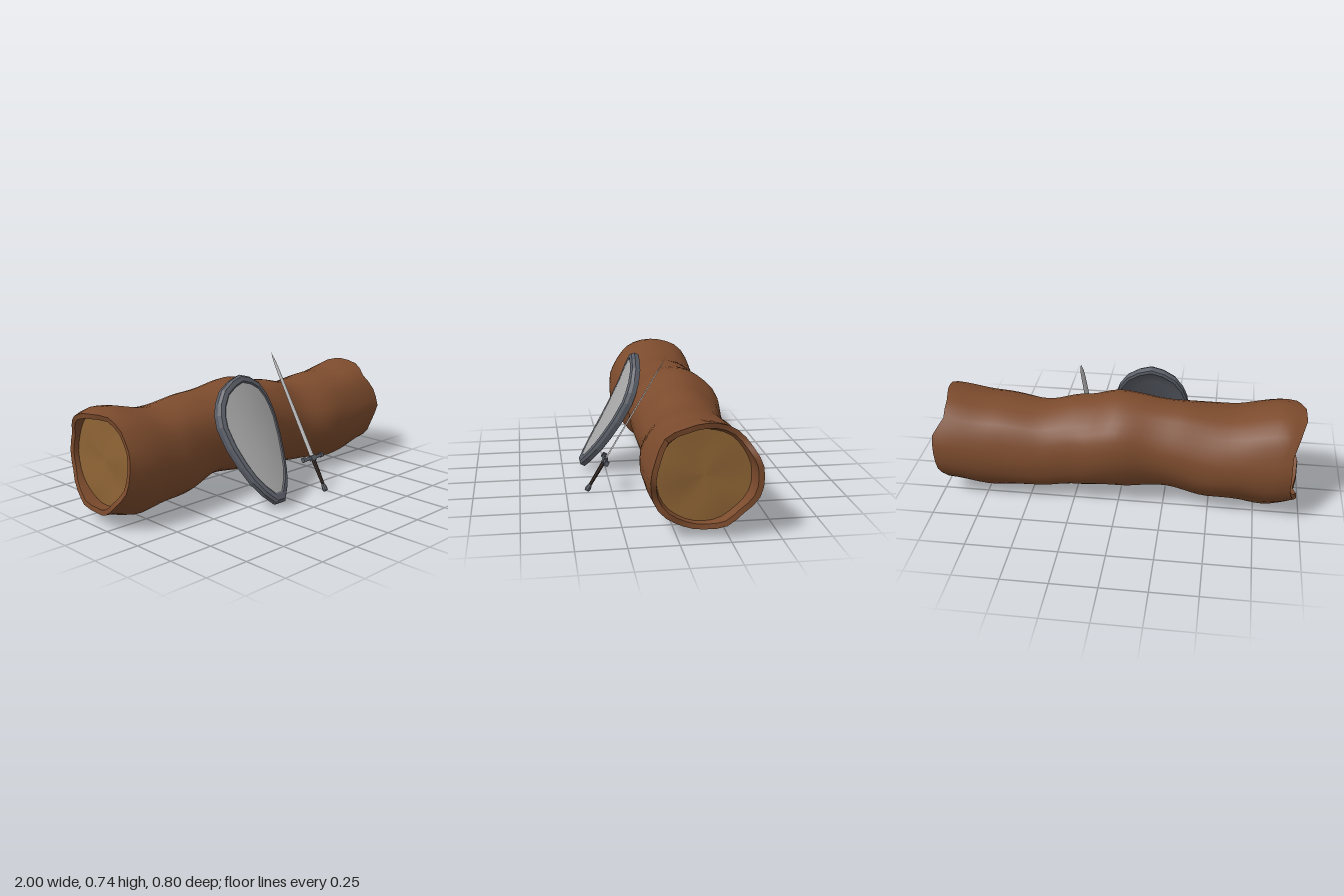
import * as THREE from 'three';
import { toCreasedNormals } from 'three/addons/utils/BufferGeometryUtils.js';

const mat = (color, flatShading = false) =>
  new THREE.MeshStandardMaterial({ color, flatShading, side: THREE.DoubleSide });
const BARK = 0x7c4b2d, WOOD = 0x8f6435, STEEL = 0x5a5e67, FACE = 0xa8a8a8, BLADE = 0xc4c6c6, GRIP = 0x3b302a;

// Skin a list of closed rings (arrays of [x, y, z] with equal counts)
function loft(rings) {
  const n = rings[0].length, index = [];
  for (let u = 0; u < rings.length - 1; u++) {
    for (let v = 0; v < n; v++) {
      const w = (v + 1) % n, a = u * n + v, b = a + n, c = (u + 1) * n + w, d = u * n + w;
      index.push(a, b, d, b, c, d);
    }
  }
  const g = new THREE.BufferGeometry();
  g.setAttribute('position', new THREE.Float32BufferAttribute(rings.flat(2), 3));
  g.setIndex(index);
  g.computeVertexNormals();
  return g;
}

function add(group, name, geometry, material, x = 0, y = 0, z = 0) {
  const m = new THREE.Mesh(geometry, material);
  m.name = name;
  m.position.set(x, y, z);
  group.add(m);
}

// Smoothed lookup in a list of [key, value] pairs
function lookup(table, x) {
  if (x <= table[0][0]) return table[0][1];
  for (let i = 1; i < table.length; i++) {
    const [x0, y0] = table[i - 1], [x1, y1] = table[i];
    if (x <= x1) return y0 + (y1 - y0) * THREE.MathUtils.smoothstep(x, x0, x1);
  }
  return table[table.length - 1][1];
}

// Outline of the trunk along its length
const TOP = [[-1, .59], [-.9, .61], [-.6, .555], [-.3, .58], [0, .617], [.2, .57], [.43, .525], [.7, .55], [1, .59]];
const BOTTOM = [[-1, .06], [-.8, .025], [-.65, .045], [-.5, .04], [-.25, .1], [0, .08], [.25, .055], [.45, .035], [.72, .02], [1, .052]];
const FRONT = [[-1, .14], [-.8, .155], [-.6, .14], [-.3, .1], [0, .12], [.35, .1], [.6, .14], [1, .142]];
const BACK = [[-1, -.375], [-.9, -.4], [-.6, -.39], [-.2, -.365], [0, -.39], [.3, -.365], [.6, -.378], [1, -.402]];
// Broken ends, going round from the front over the top
const RIGHT_END = [1, .985, .94, .975, .965, .945, .945, 1, .995, .985, .96, .97, .935, .935, .96, .955];
const LEFT_END = [.95, .935, .935, .95, .995, 1, .97, .935, .935, .935, .96, .985, .97, .99, .995, .965];

const SIDES = 32;
function around(table, v) {
  const f = (v / SIDES) * 16, i = Math.floor(f);
  return THREE.MathUtils.lerp(table[i % 16], table[(i + 1) % 16], f - i);
}

function trunkPoint(x, v, scale) {
  const a = (v / SIDES) * Math.PI * 2;
  const t = lookup(TOP, x), b = lookup(BOTTOM, x), f = lookup(FRONT, x), k = lookup(BACK, x);
  const ripple = (.022 * Math.sin(5 * a + 4 * x) + .015 * Math.sin(3 * a - 9 * x)) * Math.abs(Math.sin(2 * a));
  // Swellings low on the trunk near both ends
  const near = Math.exp(-(((Math.abs(x) - .72) / .16) ** 2));
  const swell = near * (.07 * Math.max(0, Math.cos(a + 1)) ** 10 + .045 * Math.max(0, Math.cos(a + 2)) ** 10);
  const r = scale * (1 + ripple + swell);
  return [x, (t + b) / 2 + Math.sin(a) * r * (t - b) / 2, (f + k) / 2 + Math.cos(a) * r * (f - k) / 2];
}

const ring = fn => Array.from({ length: SIDES }, (_, v) => fn(v));

function buildLog() {
  const log = new THREE.Group();
  log.name = 'log';
  const endX = (side, v) => side > 0 ? around(RIGHT_END, v) : -around(LEFT_END, v);
  // Bark
  const bark = [];
  for (let i = 0; i <= 44; i++) {
    bark.push(ring(v => trunkPoint(THREE.MathUtils.lerp(endX(-1, v), endX(1, v), i / 44), v, 1)));
  }
  add(log, 'bark', loft(bark), mat(BARK));
  for (const side of [1, -1]) {
    const label = side > 0 ? 'left' : 'right';
    const order = rings => side > 0 ? rings : rings.reverse();
    // Broken rim and the short wall behind it
    const rim = order([
      ring(v => trunkPoint(endX(side, v), v, 1)),
      ring(v => trunkPoint(endX(side, v) - side * .004, v, .9)),
      ring(v => trunkPoint(side * .905, v, .86)),
    ]);
    add(log, label + 'Rim', toCreasedNormals(loft(rim), .6), mat(BARK));
    // Uneven heartwood set back inside the rim
    const dent = v => Math.sin(v / SIDES * Math.PI * 6 + 1) + .6 * Math.sin(v / SIDES * Math.PI * 4);
    const heart = order([.87, .65, .4, .2, 0].map(s => ring(v =>
      trunkPoint(side * (.905 + .04 * dent(v) * s * s * (.87 - s)), v, s))));
    add(log, label + 'Heartwood', loft(heart), mat(WOOD));
  }
  return log;
}

function buildShield() {
  const shield = new THREE.Group();
  shield.name = 'shield';
  // Right half of the outline from the bottom up, then mirrored
  const half = [[.03, 0], [.085, .065], [.13, .145], [.162, .235], [.192, .35], [.208, .475], [.2, .54], [.178, .605], [.135, .667], [.07, .705]];
  const outline = [...half, [0, .725], ...half.map(([x, y]) => [-x, y]).reverse()];
  // Scaled copy of the outline, bent back at the sides and slightly forward at both tips
  const level = (s, lift) => outline.map(([x, y]) => {
    const h = .4 + (y - .4) * (s > .5 ? 1 - (1 - s) * .8 : s * 1.68);
    return [x * s, h, lift + .014 * ((h - .36) / .36) ** 2 - .85 * (x * s) ** 2];
  });
  add(shield, 'shieldFace', toCreasedNormals(loft([0, .2, .4, .6, .82].map(s => level(s, 0))), .3), mat(FACE));
  add(shield, 'shieldRim', loft([level(.82, 0), level(.85, .006), level(.95, .004), level(1, -.01), level(1, -.038), level(.94, -.045)]), mat(STEEL, true));
  add(shield, 'shieldBack', loft([.94, .8, .6, .4, .2, 0].map(s => level(s, s > .9 ? -.045 : -.03))), mat(STEEL));
  // Hand grip on the back
  add(shield, 'handGrip', new THREE.BoxGeometry(.14, .025, .014), mat(STEEL, true), 0, .39, -.085);
  for (const s of [-1, 1]) {
    add(shield, 'gripPost', new THREE.BoxGeometry(.016, .025, .06), mat(STEEL, true), s * .062, .39, -.055);
  }
  shield.position.set(-.145, .037, .395);
  shield.rotation.x = -.465;
  return shield;
}

function buildSword() {
  const sword = new THREE.Group();
  sword.name = 'sword';
  // Diamond section blade tapering to a point
  const blade = [[.195, .017], [.5, .0145], [.74, .012], [.79, .009], [.842, 0]].map(([y, w]) =>
    [[w, y, 0], [0, y, w * .18], [-w, y, 0], [0, y, -w * .18]]);
  add(sword, 'blade', loft(blade), mat(BLADE, true));
  // Guard with flared ends
  add(sword, 'guard', new THREE.BoxGeometry(.14, .017, .016), mat(STEEL, true), 0, .19, 0);
  add(sword, 'guardBlock', new THREE.BoxGeometry(.036, .03, .022), mat(STEEL, true), 0, .188, 0);
  for (const s of [-1, 1]) {
    add(sword, 'guardEnd', new THREE.BoxGeometry(.016, .027, .022), mat(STEEL, true), s * .073, .192, 0);
  }
  // Grip and pommel
  add(sword, 'grip', new THREE.CylinderGeometry(.012, .009, .165, 8), mat(GRIP, true), 0, .095, 0);
  const profile = [[0, -.014], [.013, -.011], [.016, 0], [.013, .02], [.009, .028]].map(p => new THREE.Vector2(...p));
  add(sword, 'pommel', new THREE.LatheGeometry(profile, 8), mat(STEEL, true));
  sword.position.set(.23, .016, .381);
  sword.rotation.x = -.5376;
  return sword;
}

export function createModel() {
  const model = new THREE.Group();
  model.name = 'logWithShieldAndSword';
  model.add(buildLog(), buildShield(), buildSword());
  return model;
}
